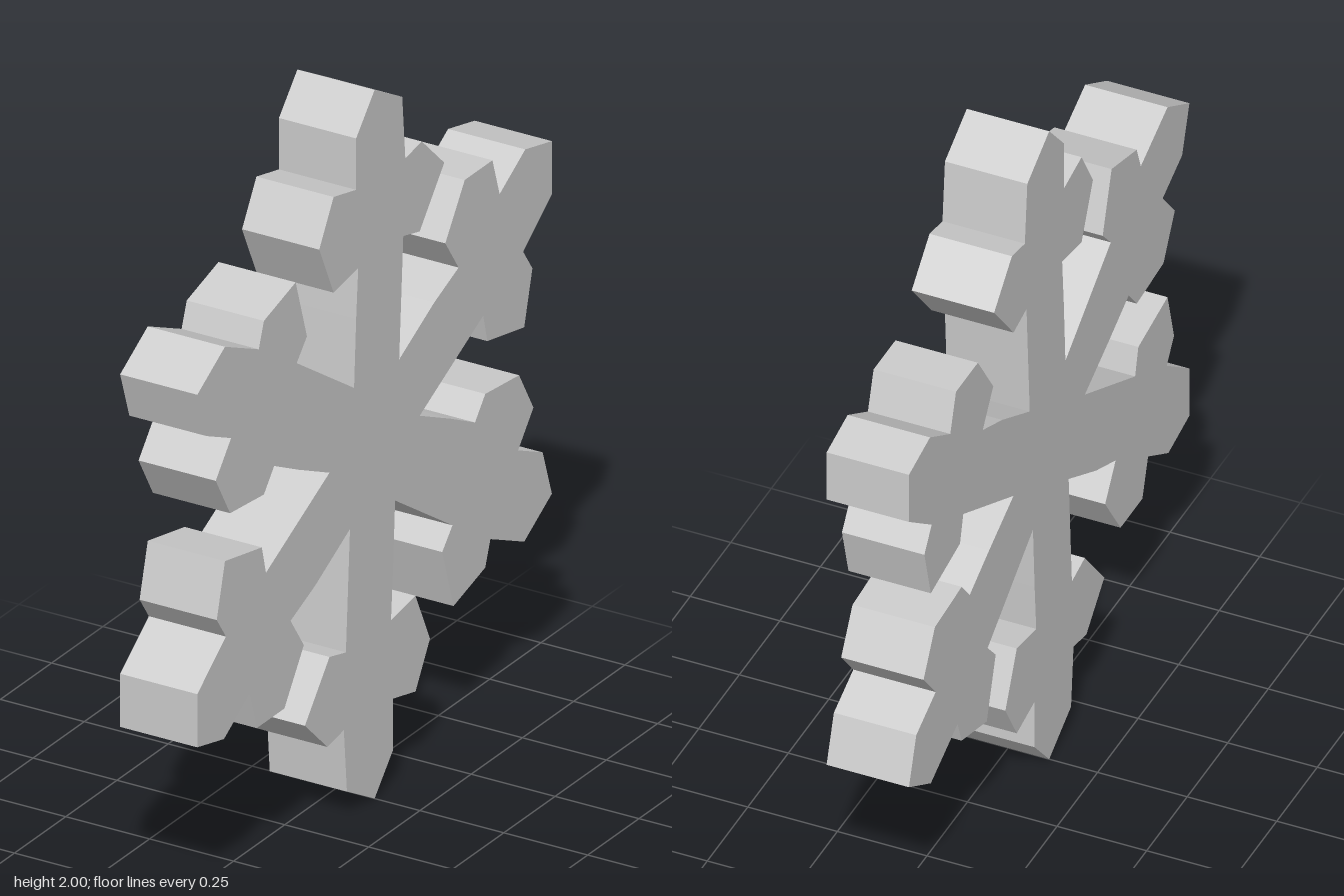
import * as THREE from 'three';

// Outline of three neighbouring arms as [z, y] from the centre, tip to notch;
// the other three arms are the same outline turned by half a circle.
const topArm = [
  [0.10, 0.20], [0.09, 0.39], [0.08, 0.53], [0.20, 0.51], [0.27, 0.66], [0.20, 0.78],
  [0.09, 0.755], [0.09, 0.90], [0, 1], [-0.135, 0.925], [-0.15, 0.745], [-0.23, 0.76],
  [-0.34, 0.655], [-0.22, 0.51], [-0.14, 0.53], [-0.12, 0.19],
];
const upperBackArm = [
  [-0.29, 0.28], [-0.41, 0.33], [-0.345, 0.425], [-0.44, 0.565], [-0.575, 0.565],
  [-0.61, 0.455], [-0.735, 0.53], [-0.865, 0.50], [-0.865, 0.35], [-0.725, 0.245],
  [-0.77, 0.18], [-0.73, 0.03], [-0.55, 0.065], [-0.53, 0.145], [-0.22, -0.01],
];
const lowerBackArm = [
  [-0.37, -0.08], [-0.49, -0.14], [-0.54, -0.08], [-0.705, -0.095], [-0.775, -0.215],
  [-0.70, -0.305], [-0.82, -0.36], [-0.865, -0.495], [-0.73, -0.575], [-0.565, -0.50],
  [-0.54, -0.57], [-0.385, -0.615], [-0.33, -0.44], [-0.38, -0.385],
];

export function createModel() {
  const group = new THREE.Group();
  group.name = 'snowflake';

  const half = [...topArm, ...upperBackArm, ...lowerBackArm];
  const outline = [];
  for (const turn of [1, -1]) {
    for (const [z, y] of half) outline.push(new THREE.Vector2(-z * turn, y * turn));
  }

  // Flat slab with sharp edges, turned so that its thickness runs along x
  const thickness = 0.23;
  const geometry = new THREE.ExtrudeGeometry(new THREE.Shape(outline), {
    depth: thickness, bevelEnabled: false,
  });
  geometry.translate(0, 0, -thickness / 2);
  geometry.rotateY(Math.PI / 2);
  geometry.translate(0, 1, 0);

  const body = new THREE.Mesh(
    geometry,
    new THREE.MeshStandardMaterial({ color: 0xcccccc, flatShading: true }),
  );
  body.name = 'snowflakeBody';
  group.add(body);
  return group;
}
